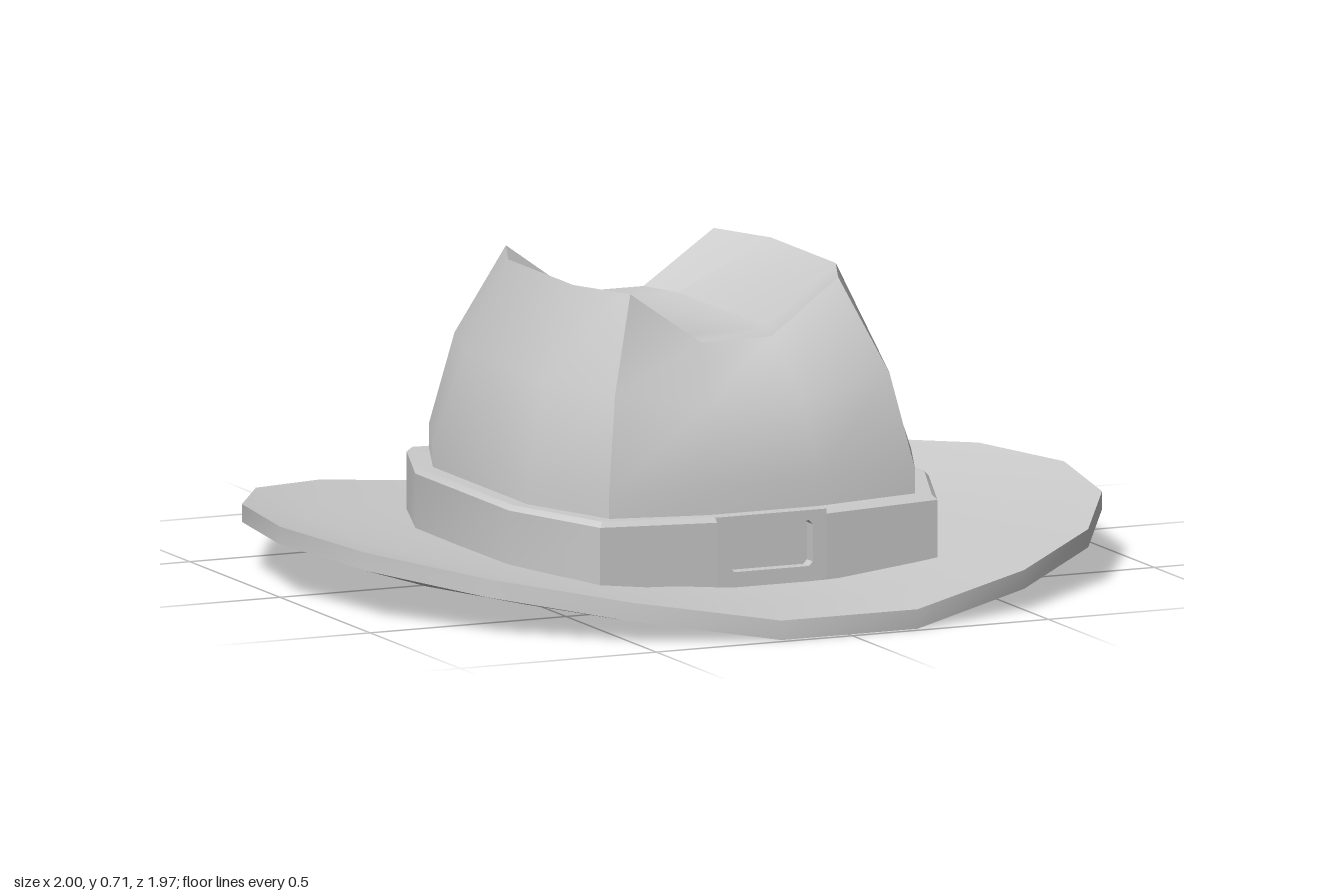
import * as THREE from 'three';
import { toCreasedNormals } from 'three/addons/utils/BufferGeometryUtils.js';

const material = new THREE.MeshStandardMaterial({ color: 0xcccccc, side: THREE.DoubleSide });

function addMesh(group, name, geometry) {
  const mesh = new THREE.Mesh(geometry, material);
  mesh.name = name;
  group.add(mesh);
  return mesh;
}

// Skin a stack of closed rings (ordered from +x towards +z); skip leaves one segment open
function loft(rings, crease, skip = -1) {
  const pos = [];
  const tri = (a, b, c) => {
    const area = b.clone().sub(a).cross(c.clone().sub(a)).length();
    if (area > 1e-7) for (const p of [a, b, c]) pos.push(p.x, p.y, p.z);
  };
  for (let r = 0; r < rings.length - 1; r++) {
    const lo = rings[r], hi = rings[r + 1];
    for (let i = 0; i < lo.length; i++) {
      if (i === skip) continue;
      const j = (i + 1) % lo.length;
      tri(lo[i], hi[i], lo[j]);
      tri(hi[i], hi[j], lo[j]);
    }
  }
  const g = new THREE.BufferGeometry();
  g.setAttribute('position', new THREE.Float32BufferAttribute(pos, 3));
  return toCreasedNormals(g, crease);
}

// Twelve-point ring mirrored from one quarter: side, corner and front points [x, y, z]
function mirrorRing(...quarter) {
  const ring = [];
  [[1, 1], [-1, 1], [-1, -1], [1, -1]].forEach(([sx, sz], q) => {
    const pts = q % 2 ? [...quarter].reverse() : quarter;
    for (const [x, y, z] of pts) ring.push(new THREE.Vector3(x * sx, y, z * sz));
  });
  return ring;
}

// Eighteen-sided brim ring, rising towards both sides
function brimRing(radius, lift, base) {
  return Array.from({ length: 18 }, (_, i) => {
    const t = (i / 18) * Math.PI * 2;
    const x = radius * Math.cos(t);
    return new THREE.Vector3(x, base + lift * Math.max(0, Math.abs(x) - 0.17), radius * Math.sin(t));
  });
}

export function createModel() {
  const hat = new THREE.Group();
  hat.name = 'hat';

  // Brim: underside out to the rim, then back across the top
  addMesh(hat, 'brim', loft([
    brimRing(0, 0, 0), brimRing(0.4, 0.09, 0), brimRing(0.8, 0.09, 0), brimRing(1, 0.15, 0),
    brimRing(1, 0.145, 0.046), brimRing(0.8, 0.11, 0.046), brimRing(0.4, 0.09, 0.046), brimRing(0, 0, 0.046),
  ], 0.55));

  // Crown: tapering walls, two side ridges and a sunken crease along the top
  const dip = [0.13, 0.59, 0.25];
  addMesh(hat, 'crown', loft([
    mirrorRing([0.49, 0.05, 0.26], [0.39, 0.05, 0.5], [0.14, 0.05, 0.515]),
    mirrorRing([0.49, 0.28, 0.26], [0.39, 0.28, 0.5], [0.14, 0.28, 0.515]),
    mirrorRing([0.43, 0.5, 0.22], [0.35, 0.5, 0.445], [0.12, 0.46, 0.465]),
    mirrorRing([0.335, 0.715, 0.18], [0.265, 0.715, 0.345], [0.09, 0.59, 0.355]),
    mirrorRing(dip, dip, dip),
    mirrorRing([0, 0.59, 0], [0, 0.59, 0], [0, 0.59, 0]),
  ], 0.55));

  // Band around the crown, open at the front for the windowed panel
  const bandRing = (s, y, drop) => mirrorRing(
    [0.535 - s, y, 0.26 - s * 0.3], [0.43 - s, y - drop / 4, 0.537 - s], [0.14, y - drop, 0.553 - s]);
  addMesh(hat, 'band', loft([
    bandRing(0, 0.05, 0.03), bandRing(0, 0.212, 0.01), bandRing(0.01, 0.224, 0.01), bandRing(0.05, 0.224, 0.01),
  ], 0.45, 2));

  // Front panel with a recessed rectangular window
  const panel = new THREE.Shape();
  panel.moveTo(-0.14, 0.02).lineTo(0.14, 0.02).lineTo(0.14, 0.214).lineTo(-0.14, 0.214).closePath();
  const hole = new THREE.Path();
  const w = 0.105, b = 0.082, t = 0.19, r = 0.01;
  hole.moveTo(-w + r, b).lineTo(-w, b + r).lineTo(-w, t - r).lineTo(-w + r, t);
  hole.lineTo(w - r, t).lineTo(w, t - r).lineTo(w, b + r).lineTo(w - r, b).closePath();
  panel.holes.push(hole);
  addMesh(hat, 'bandFrontPanel', new THREE.ExtrudeGeometry(panel, { depth: 0.043, bevelEnabled: false }))
    .position.z = 0.51;

  // Back wall of the window
  addMesh(hat, 'bandWindowBack', new THREE.BoxGeometry(0.23, 0.13, 0.02)).position.set(0, 0.135, 0.511);

  return hat;
}
